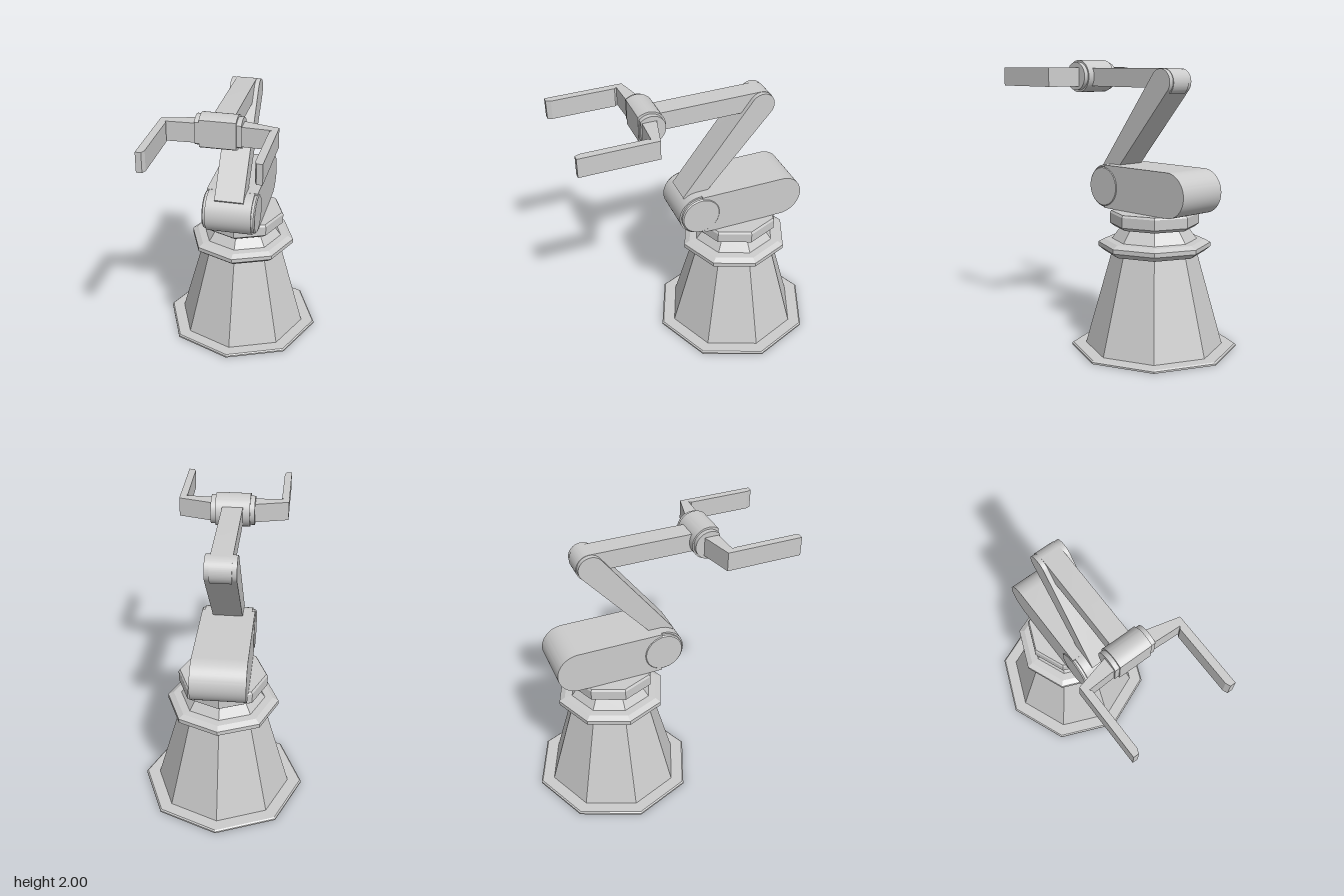
import * as THREE from 'three';
import { toCreasedNormals } from 'three/addons/utils/BufferGeometryUtils.js';

const CX = -0.008; // arm sits very slightly off the pedestal axis
const smooth = new THREE.MeshStandardMaterial({ color: 0xcccccc });
const faceted = new THREE.MeshStandardMaterial({ color: 0xcccccc, flatShading: true });
const rad = THREE.MathUtils.degToRad;

function add(group, name, geometry, material = smooth) {
  const mesh = new THREE.Mesh(geometry, material);
  mesh.name = name;
  group.add(mesh);
  return mesh;
}

// Side profile drawn in (-z, y), extruded across x around the arm's centre plane
function sideExtrude(shape, width) {
  const geo = new THREE.ExtrudeGeometry(shape, { depth: width, bevelEnabled: false, curveSegments: 24 });
  geo.translate(0, 0, -width / 2).rotateY(Math.PI / 2).translate(CX, 0, 0);
  return toCreasedNormals(geo, 0.5);
}

// Chamfered cylinder lying along x: profile of [radius, x] pairs
function axle(profile, y, z) {
  const geo = new THREE.LatheGeometry(profile.map(([r, h]) => new THREE.Vector2(r, h)), 40);
  geo.rotateZ(-Math.PI / 2).translate(CX, y, z);
  return toCreasedNormals(geo, 0.5);
}

export function createModel() {
  const model = new THREE.Group();
  model.name = 'robotArm';

  // Octagonal pedestal: foot plate, cone, collar, neck and cap
  const pedestal = [
    [0, 0], [0.58, 0], [0.58, 0.012], [0.57, 0.02], [0.48, 0.02], [0.295, 0.685],
    [0.345, 0.685], [0.39, 0.72], [0.39, 0.75], [0.35, 0.772], [0.295, 0.775],
    [0.23, 0.862], [0.28, 0.862], [0.31, 0.885], [0.31, 0.955], [0.3, 0.97], [0, 0.97],
  ].map(([r, y]) => new THREE.Vector2(r, y));
  add(model, 'pedestal', new THREE.LatheGeometry(pedestal, 8), faceted).position.z = -0.32;

  // Shoulder housing with a rounded back
  const housing = new THREE.Shape();
  housing.moveTo(0, 0.97);
  housing.lineTo(0.605, 0.97);
  housing.absarc(0.605, 1.122, 0.152, -Math.PI / 2, Math.PI / 2, false);
  housing.lineTo(0, 1.274);
  housing.closePath();
  add(model, 'shoulderHousing', sideExtrude(housing, 0.37));

  // Shoulder drum with chamfered end discs
  add(model, 'shoulderDrum', axle([
    [0, -0.19], [0.132, -0.19], [0.14, -0.182], [0.14, -0.165], [0.152, -0.165],
    [0.152, 0.165], [0.14, 0.165], [0.14, 0.182], [0.132, 0.19], [0, 0.19],
  ], 1.122, 0.012));

  // Upper arm leaning back to the elbow
  const upperArm = new THREE.Shape();
  upperArm.moveTo(-0.03, 1.12);
  upperArm.lineTo(-0.115, 1.25);
  upperArm.absarc(0.46, 1.856, 0.088, rad(142.3), rad(-42.3), true);
  upperArm.lineTo(0.05, 1.25);
  upperArm.lineTo(0.05, 1.12);
  upperArm.closePath();
  add(model, 'upperArm', sideExtrude(upperArm, 0.207));

  // Forearm, rounded at the elbow
  const forearm = new THREE.Shape();
  forearm.moveTo(-0.3, 1.815);
  forearm.lineTo(0.46, 1.815);
  forearm.absarc(0.46, 1.852, 0.094, rad(-50), Math.PI / 2, false);
  forearm.lineTo(-0.3, 1.944);
  forearm.closePath();
  add(model, 'forearm', sideExtrude(forearm, 0.143));

  // Wrist barrel with a flat front face
  const wrist = new THREE.Shape();
  wrist.absarc(-0.35, 1.885, 0.115, rad(-128), rad(128), false);
  wrist.closePath();
  add(model, 'wristBarrel', sideExtrude(wrist, 0.24));

  // Wrist end collars
  const collars = new THREE.Shape();
  collars.absarc(-0.345, 1.885, 0.1, rad(-134), rad(134), false);
  collars.closePath();
  add(model, 'wristCollars', sideExtrude(collars, 0.305));

  // Mirrored gripper fingers, outlined in plan and extruded upward
  for (const [name, side] of [['leftFinger', 1], ['rightFinger', -1]]) {
    const plan = new THREE.Shape([
      [0.1, 0.29], [0.145, 0.305], [0.383, 0.365], [0.383, 0.897], [0.345, 0.897],
      [0.332, 0.865], [0.332, 0.43], [0.345, 0.414], [0.145, 0.405], [0.1, 0.405],
    ].map(([x, z]) => new THREE.Vector2(CX + side * x, -z)));
    const geo = new THREE.ExtrudeGeometry(plan, { depth: 0.134, bevelEnabled: false });
    geo.rotateX(-Math.PI / 2).translate(0, 1.813, 0);
    add(model, name, geo, faceted);
  }

  return model;
}
